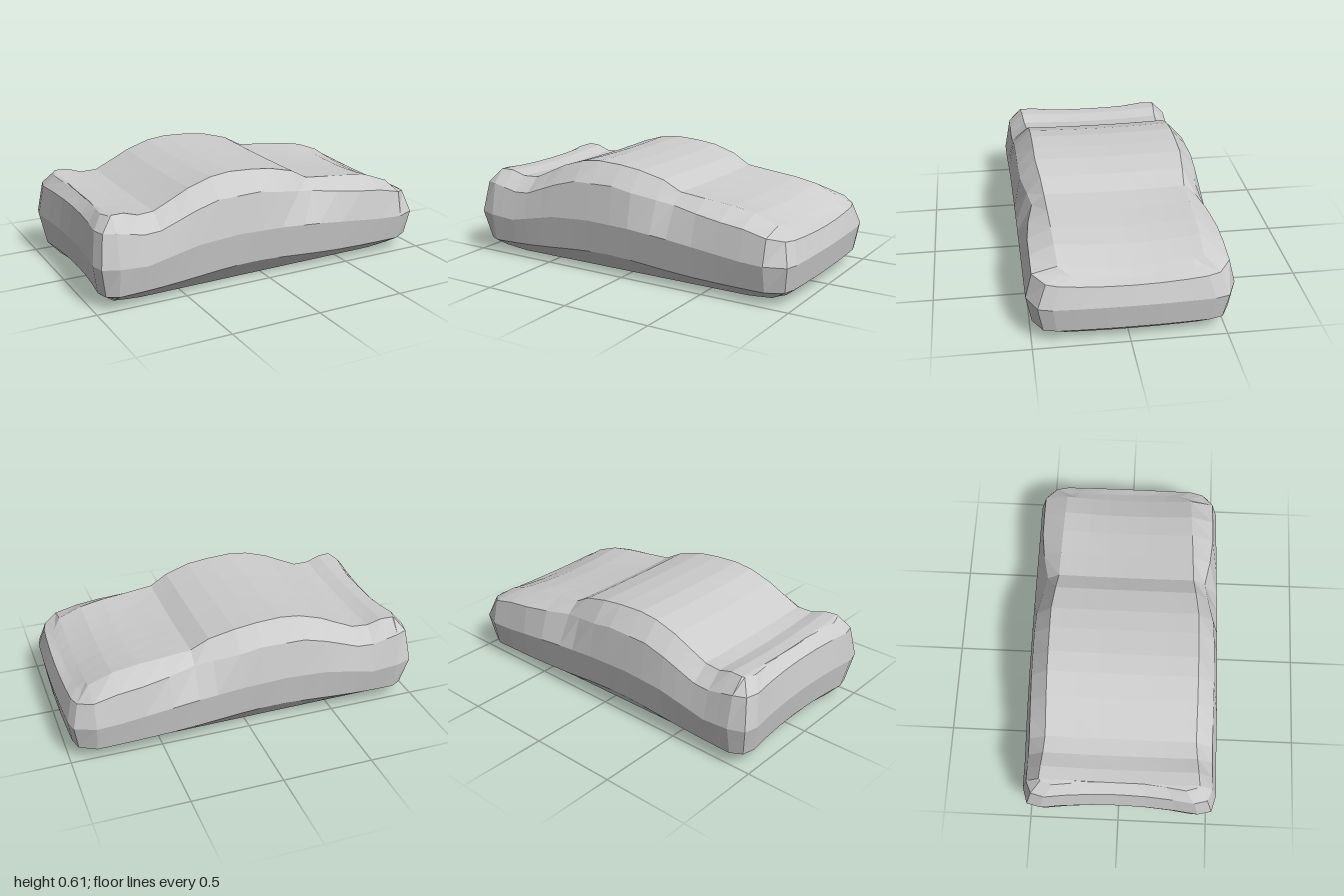
import * as THREE from 'three';

// Profile lines along the body, as [x, value] points
const ROOF = [[-0.95, 0.485], [-0.88, 0.49], [-0.81, 0.488], [-0.73, 0.462], [-0.64, 0.465], [-0.53, 0.515],
  [-0.44, 0.558], [-0.31, 0.598], [-0.2, 0.61], [-0.06, 0.603], [0.06, 0.588], [0.2, 0.55], [0.3, 0.495],
  [0.45, 0.478], [0.6, 0.463], [0.73, 0.44], [0.86, 0.39], [0.95, 0.36]];
const SHOULDER = [[-0.88, 0.415], [-0.73, 0.383], [-0.64, 0.388], [-0.44, 0.462], [-0.31, 0.498],
  [-0.06, 0.503], [0.3, 0.437], [0.73, 0.386], [0.95, 0.335]];
const WAIST = [[-0.95, 0.24], [-0.73, 0.225], [-0.44, 0.285], [-0.2, 0.3], [0.06, 0.292], [0.3, 0.272], [0.73, 0.225], [0.95, 0.215]];
const ROOF_HALF_WIDTH = [[-0.88, 0.43], [-0.64, 0.41], [0.06, 0.41], [0.3, 0.385], [0.95, 0.37]];
const TOP_DIP = [[-0.81, 0.02], [-0.64, 0.005], [-0.31, 0.01], [0.2, 0.004], [0.86, 0.03]];

const COLUMNS = [-1, -0.85, -0.6, -0.3, 0, 0.3, 0.6, 0.85, 1]; // across the width
// End faces from floor to roof edge: x and half width
const REAR = { x: [-0.915, -0.97, -1, -0.975, -0.92], half: [0.4, 0.475, 0.51, 0.475, 0.42] };
const NOSE = { x: [0.915, 0.98, 1, 0.965, 0.92], half: [0.4, 0.46, 0.485, 0.44, 0.36] };

// Value of a profile line at x, held constant beyond its ends
function along(line, x) {
  const next = line.findIndex((point) => point[0] >= x);
  if (next === 0) return line[0][1];
  if (next < 0) return line[line.length - 1][1];
  const [x0, v0] = line[next - 1];
  const [x1, v1] = line[next];
  return THREE.MathUtils.mapLinear(x, x0, x1, v0, v1);
}

const bump = (x, centre, width) => Math.exp(-(((x - centre) / width) ** 2));

// Place one grid point: station i along, row j up, column k across
function bodyPoint(i, j, k) {
  const station = ROOF[i][0];
  const w = COLUMNS[k];
  const middle = 1 - w * w;
  const corner = Math.abs(w) === 1;
  const nose = i === ROOF.length - 1;

  // floor, sill, waist, shoulder and roof edge
  let x = station;
  let y = [
    0.02 * Math.max(0, Math.abs(station) - 0.75) / 0.2,
    0.075 + 0.042 * bump(station, -0.12, 0.42),
    along(WAIST, station),
    along(SHOULDER, station),
    along(ROOF, station),
  ][j];
  let half = [0.415, 0.51, 0.537, 0.503 - 0.05 * bump(station, 0.3, 0.15), along(ROOF_HALF_WIDTH, station)][j];

  if (i === 0) {
    // hollow tail with rounded corners
    x = REAR.x[j] + 0.042 * middle + (corner ? 0.03 : 0);
    half = REAR.half[j];
  } else if (nose) {
    // slightly bowed nose
    x = NOSE.x[j] - 0.015 * w * w - (corner ? 0.015 : 0);
    half = NOSE.half[j];
  }
  if (j === 4) y -= along(TOP_DIP, station) * middle; // dished top
  if (j === 3 && nose) y -= 0.02 * middle;
  if (j === 0 && corner) y += 0.008; // floor edge lifts a little
  return [x, y, w * half - 0.008 - 0.013 * x]; // sides lean slightly to the back
}

// A gridded box whose points are moved onto the body lines
function createBody() {
  const nx = ROOF.length - 1, ny = 4, nz = COLUMNS.length - 1;
  const box = new THREE.BoxGeometry(nx, ny, nz, nx, ny, nz);
  const p = box.attributes.position;
  for (let v = 0; v < p.count; v++) {
    p.setXYZ(v, ...bodyPoint(
      Math.round(p.getX(v) + nx / 2),
      Math.round(p.getY(v) + ny / 2),
      Math.round(p.getZ(v) + nz / 2),
    ));
  }
  const faceted = box.toNonIndexed();
  faceted.clearGroups();
  faceted.computeVertexNormals();
  return faceted;
}

export function createModel() {
  const model = new THREE.Group();
  model.name = 'carBody';
  const grey = new THREE.MeshStandardMaterial({ color: 0xcccccc, flatShading: true });
  grey.name = 'light grey';
  const body = new THREE.Mesh(createBody(), grey);
  body.name = 'bodyShell';
  model.add(body);
  return model;
}
